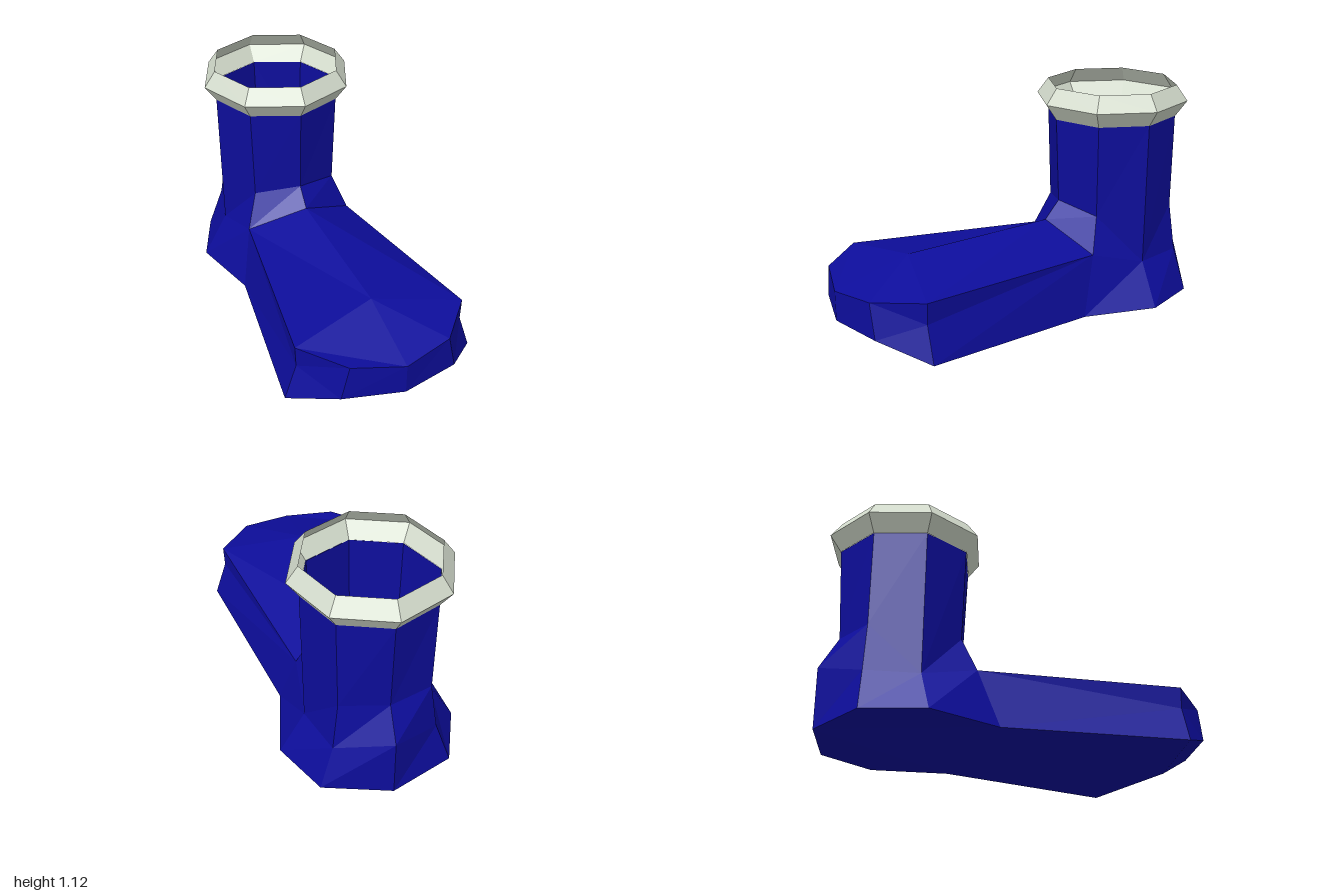
import * as THREE from 'three';

const blue = new THREE.MeshStandardMaterial({ color: 0x0d0d9c, flatShading: true, side: THREE.DoubleSide });
blue.name = 'boot blue';
const cream = new THREE.MeshStandardMaterial({ color: 0xd3dbcc, flatShading: true, side: THREE.DoubleSide });
cream.name = 'cuff cream';

// Builds a faceted mesh from one half (x >= 0), mirrored across x = 0.
function mirroredMesh(name, points, faces, material) {
  const positions = [];
  const addFace = (corners) => {
    for (let i = 1; i < corners.length - 1; i++) {
      positions.push(...corners[0], ...corners[i], ...corners[i + 1]);
    }
  };
  for (const face of faces) {
    const corners = face.split(' ').map((key) => points[key]);
    addFace(corners);
    addFace(corners.map(([x, y, z]) => [-x, y, z]).reverse());
  }
  const geometry = new THREE.BufferGeometry();
  geometry.setAttribute('position', new THREE.Float32BufferAttribute(positions, 3));
  geometry.computeVertexNormals();
  const mesh = new THREE.Mesh(geometry, material);
  mesh.name = name;
  return mesh;
}

// Columns run from the back (0) round the side to the front (4).
// s = sole edge, m = heel and instep bulge, a = ankle, c = shaft top
const points = {
  s0: [0, 0, -1], s1: [0.33, 0, -0.88], s2: [0.455, 0, -0.59], s3: [0.36, 0, -0.21],
  m0: [0, 0.31, -1], m1: [0.26, 0.22, -0.85], m2: [0.328, 0.22, -0.59], m3: [0.29, 0.3, -0.3], m4: [0, 0.425, -0.19],
  a0: [0, 0.48, -0.905], a1: [0.23, 0.47, -0.83], a3: [0.225, 0.48, -0.36], a4: [0, 0.52, -0.27],
  c0: [0, 0.96, -0.93], c1: [0.24, 0.96, -0.83], c2: [0.34, 0.96, -0.59], c3: [0.24, 0.96, -0.35], c4: [0, 0.96, -0.25],
  // wide corner of the toe: bottom, middle, top
  wideLow: [0.5, 0.025, 0.72], wideMid: [0.44, 0.21, 0.72], wideTop: [0.445, 0.32, 0.72],
  // front of the toe
  cornerLow: [0.3, 0.12, 0.925], cornerTop: [0.26, 0.3, 0.93],
  tipLow: [0, 0.12, 1], tipTop: [0, 0.275, 1],
  ridge: [0, 0.39, 0.61], soleFront: [0, 0.03, 0.86],
};

const shaftFaces = [
  'a1 a0 c0 c1', 'm2 a1 c1 c2', 'a3 m2 c2 c3', 'a4 a3 c3 c4',
];
const footFaces = [
  // heel and ankle
  's1 s0 m0 m1', 's2 s1 m1 m2', 's3 s2 m2 m3',
  'm1 m0 a0 a1', 'm2 m1 a1', 'm3 m2 a3', 'm4 m3 a3 a4',
  // sides
  'wideLow s3 m3 wideMid', 'wideMid m3 wideTop',
  // toe
  'cornerLow wideLow wideMid', 'cornerTop cornerLow wideMid', 'cornerTop wideMid wideTop',
  'tipLow cornerLow cornerTop tipTop',
  // instep
  'm4 ridge wideTop m3', 'ridge tipTop cornerTop wideTop',
];
const soleFaces = [
  's0 s1 s2', 's0 s2 s3', 's0 s3 soleFront', 's3 wideLow soleFront',
  'soleFront wideLow cornerLow', 'soleFront cornerLow tipLow',
];

export function createModel() {
  const boot = new THREE.Group();
  boot.name = 'boot';
  boot.add(
    mirroredMesh('shaft', points, shaftFaces, blue),
    mirroredMesh('foot', points, footFaces, blue),
    mirroredMesh('sole', points, soleFaces, blue),
  );

  // Open eight-sided cuff around the shaft top
  const profile = [[0.341, 0.96], [0.4, 1.043], [0.341, 1.125]].map(([r, y]) => new THREE.Vector2(r, y));
  const cuff = new THREE.Mesh(new THREE.LatheGeometry(profile, 8), cream);
  cuff.name = 'cuff';
  cuff.position.z = -0.59;
  boot.add(cuff);
  return boot;
}
